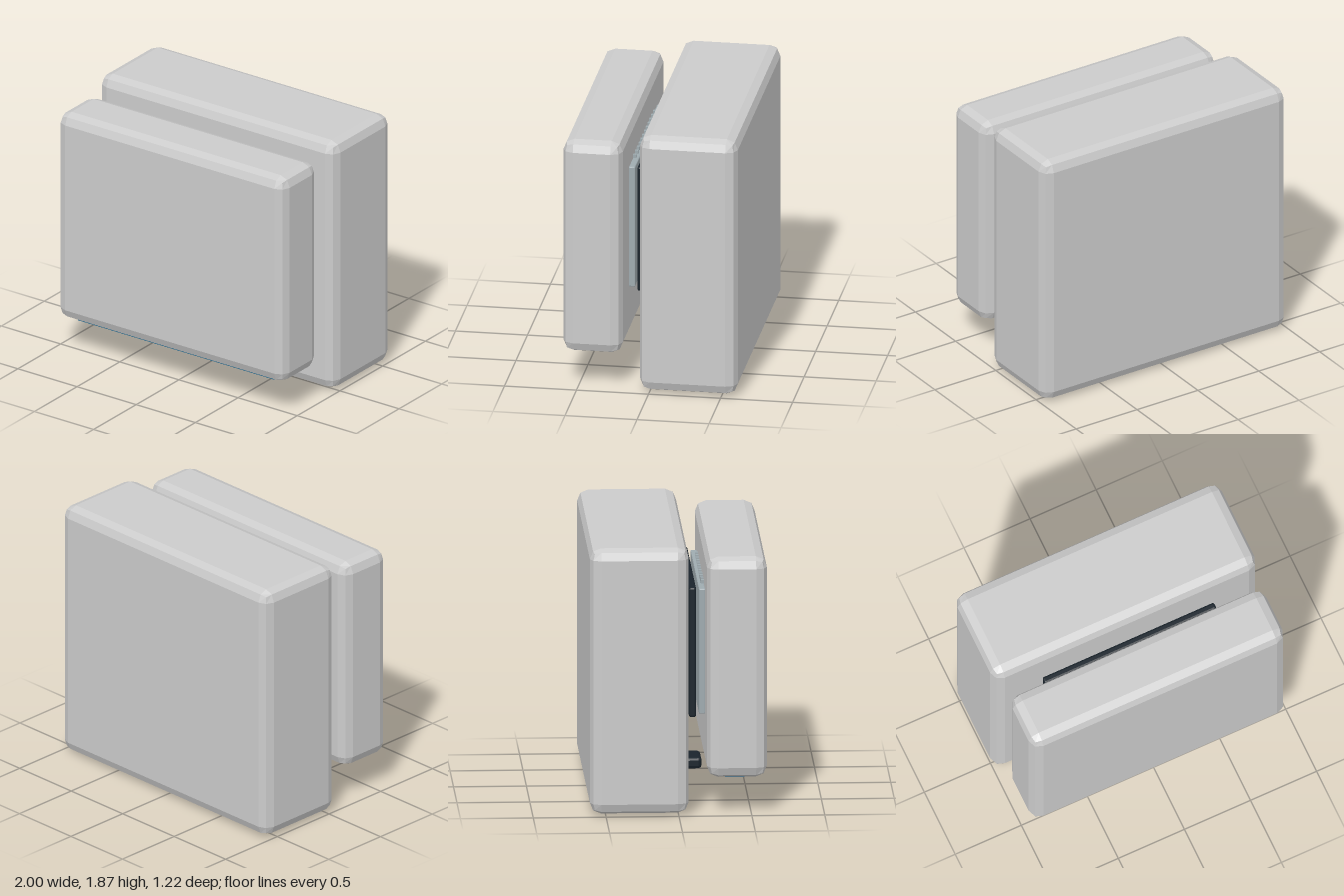
import * as THREE from 'three';
import { RoundedBoxGeometry } from 'three/addons/geometries/RoundedBoxGeometry.js';

const shell = new THREE.MeshStandardMaterial({ color: 0xcccccc, flatShading: true });
const dark = new THREE.MeshStandardMaterial({ color: 0x1a242c, flatShading: true });
const metal = new THREE.MeshStandardMaterial({ color: 0x9fabb0, flatShading: true });
const blue = new THREE.MeshStandardMaterial({ color: 0x236a90, flatShading: true });

// Box between two corners; a radius gives it a two-facet rounded edge
function block(name, material, [x0, y0, z0], [x1, y1, z1], radius = 0) {
  const size = [x1 - x0, y1 - y0, z1 - z0];
  const geometry = radius
    ? new RoundedBoxGeometry(...size, 1, radius)
    : new THREE.BoxGeometry(...size);
  const mesh = new THREE.Mesh(geometry, material);
  mesh.name = name;
  mesh.position.set((x0 + x1) / 2, (y0 + y1) / 2, (z0 + z1) / 2);
  return mesh;
}

export function createModel() {
  const model = new THREE.Group();
  model.name = 'twoPartHousing';

  // The two main housings
  model.add(block('rearHousing', shell, [-1, 0.01, -0.608], [1, 1.872, 0.07], 0.076));
  model.add(block('frontHousing', shell, [-0.96, 0.25, 0.197], [0.96, 1.797, 0.608], 0.076));

  // Parts in the gap between them
  model.add(block('gapPanel', dark, [-0.65, 0.615, 0.085], [0.65, 1.527, 0.135], 0.014));
  model.add(block('backPlate', metal, [-0.615, 0.632, 0.155], [0.615, 1.51, 0.2], 0.008));
  model.add(block('lowerLatch', dark, [-0.12, 0.135, 0.07], [0.12, 0.215, 0.197], 0.022));

  // Coloured strip beneath the front housing
  model.add(block('bottomStrip', blue, [-0.83, 0.236, 0.325], [0.83, 0.256, 0.53]));

  // Cooling ribs behind the back plate and small studs under the rear housing
  const ribs = new THREE.Group();
  ribs.name = 'coolingRibs';
  const studs = new THREE.Group();
  studs.name = 'bottomStuds';
  const studGeometry = new THREE.CylinderGeometry(0.011, 0.011, 0.016, 8);
  for (let i = 0; i < 12; i++) {
    const t = i - 5.5;
    const x = t * 0.078;
    ribs.add(block('rib', metal, [x - 0.012, 0.61, 0.176], [x + 0.012, 1.535, 0.2]));
    const stud = new THREE.Mesh(studGeometry, dark);
    stud.name = 'stud';
    stud.position.set(t * 0.128, 0.008, -0.24);
    studs.add(stud);
  }
  model.add(ribs, studs);
  return model;
}
